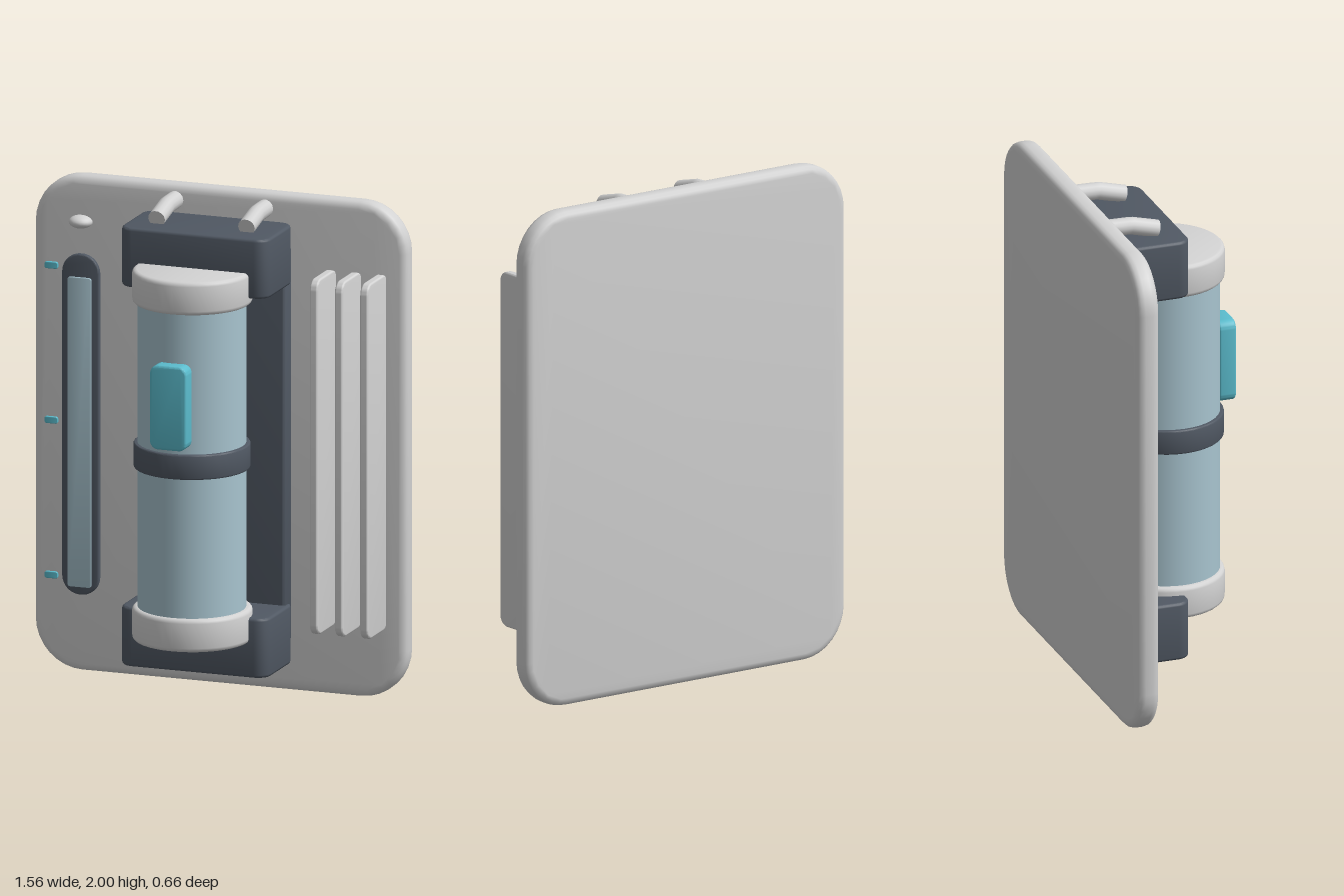
import * as THREE from 'three';
import { toCreasedNormals } from 'three/addons/utils/BufferGeometryUtils.js';

const material = (name, color) => new THREE.MeshStandardMaterial({ name, color });

// Slab centred on the origin, thickness along z, rounded corners and softened rims
function slab(w, h, d, r, bevel, segments = 4) {
  const x = w / 2 - bevel, y = h / 2 - bevel, c = Math.max(r - bevel, 0.001);
  const s = new THREE.Shape();
  s.absarc(x - c, y - c, c, 0, Math.PI / 2);
  s.absarc(-x + c, y - c, c, Math.PI / 2, Math.PI);
  s.absarc(-x + c, -y + c, c, Math.PI, Math.PI * 1.5);
  s.absarc(x - c, -y + c, c, Math.PI * 1.5, Math.PI * 2);
  const geo = new THREE.ExtrudeGeometry(s, {
    depth: d - 2 * bevel, curveSegments: segments, bevelEnabled: true,
    bevelThickness: bevel, bevelSize: bevel, bevelSegments: 3,
  });
  geo.translate(0, 0, bevel - d / 2);
  return toCreasedNormals(geo, 0.6);
}

// Upright drum with rounded rims
function drum(r, h, b) {
  const pts = [new THREE.Vector2(0, -h / 2)];
  for (let i = 0; i <= 3; i++) {
    const a = (i / 3) * Math.PI / 2;
    pts.push(new THREE.Vector2(r - b + b * Math.sin(a), -h / 2 + b - b * Math.cos(a)));
  }
  for (let i = 0; i <= 3; i++) {
    const a = (i / 3) * Math.PI / 2;
    pts.push(new THREE.Vector2(r - b + b * Math.cos(a), h / 2 - b + b * Math.sin(a)));
  }
  pts.push(new THREE.Vector2(0, h / 2));
  return toCreasedNormals(new THREE.LatheGeometry(pts, 40), 0.6);
}

export function createModel() {
  const group = new THREE.Group();
  const shell = material('light grey shell', 0xd2d2d2);
  const dark = material('dark slate', 0x505863);
  const glass = material('pale blue glass', 0xa8c4cf);
  const accent = material('cyan accent', 0x5bbccd);

  const add = (name, geo, mat, x, y, z) => {
    const mesh = new THREE.Mesh(geo, mat);
    mesh.name = name;
    mesh.position.set(x, y, z);
    group.add(mesh);
    return mesh;
  };

  // Wall plate and the dark spine behind the canister
  add('wallPlate', slab(1.56, 2, 0.09, 0.2, 0.03), shell, 0, 1, -0.287);
  add('spine', slab(0.595, 1.6, 0.08, 0.02, 0.012), dark, 0, 1, -0.215);

  // Canister with end caps and a middle band
  const axisZ = 0.06;
  add('canister', new THREE.CylinderGeometry(0.213, 0.213, 1.3, 40), glass, 0, 1, axisZ + 0.005);
  add('canisterBand', drum(0.229, 0.1, 0.006), dark, 0, 1.005, axisZ + 0.004);
  for (const [name, y] of [['upperCap', 1.685], ['lowerCap', 0.325]])
    add(name, drum(0.236, 0.135, 0.018), shell, 0, y, axisZ);

  // Brackets, rounded in plan
  for (const [name, y] of [['upperBracket', 1.77], ['lowerBracket', 0.24]])
    add(name, slab(0.62, 0.31, 0.24, 0.055, 0.012), dark, 0, y, -0.093).rotation.x = -Math.PI / 2;

  // Latch on the canister front
  add('latch', slab(0.153, 0.34, 0.07, 0.035, 0.008), accent, 0, 1.25, 0.297);

  // Bent pipes between plate and upper bracket
  const path = new THREE.CurvePath();
  const bend = [[1.94, -0.26], [1.938, -0.15], [1.91, -0.04]].map(([y, z]) => new THREE.Vector3(0, y, z));
  path.add(new THREE.LineCurve3(bend[0], bend[1]));
  path.add(new THREE.LineCurve3(bend[1], bend[2]));
  for (const side of [-1, 1]) {
    add('pipe', new THREE.TubeGeometry(path, 12, 0.035, 14), shell, side * 0.188, 0, 0);
    const end = add('pipeEnd', new THREE.CircleGeometry(0.035, 14), shell, side * 0.188, 1.91, -0.04);
    end.rotation.x = Math.atan2(0.028, 0.11);
  }

  // Level gauge, indicator button and tick marks
  add('gaugeFrame', slab(0.155, 1.375, 0.03, 0.075, 0.006, 6), dark, -0.578, 1.0, -0.24);
  add('gaugeWindow', slab(0.1, 1.25, 0.009, 0.012, 0.002), glass, -0.58, 0.97, -0.2225);
  add('button', new THREE.SphereGeometry(0.048, 20, 12), shell, -0.58, 1.817, -0.238).scale.y = 0.55;
  for (const y of [0.38, 1.005, 1.63])
    add('tick', slab(0.056, 0.028, 0.02, 0.01, 0.003), accent, -0.704, y, -0.243);

  // Cooling fins standing out from the plate
  for (const x of [0.468, 0.573, 0.679])
    add('fin', slab(0.22, 1.435, 0.034, 0.045, 0.008), shell, x, 1.003, -0.149).rotation.y = Math.PI / 2;

  return group;
}
